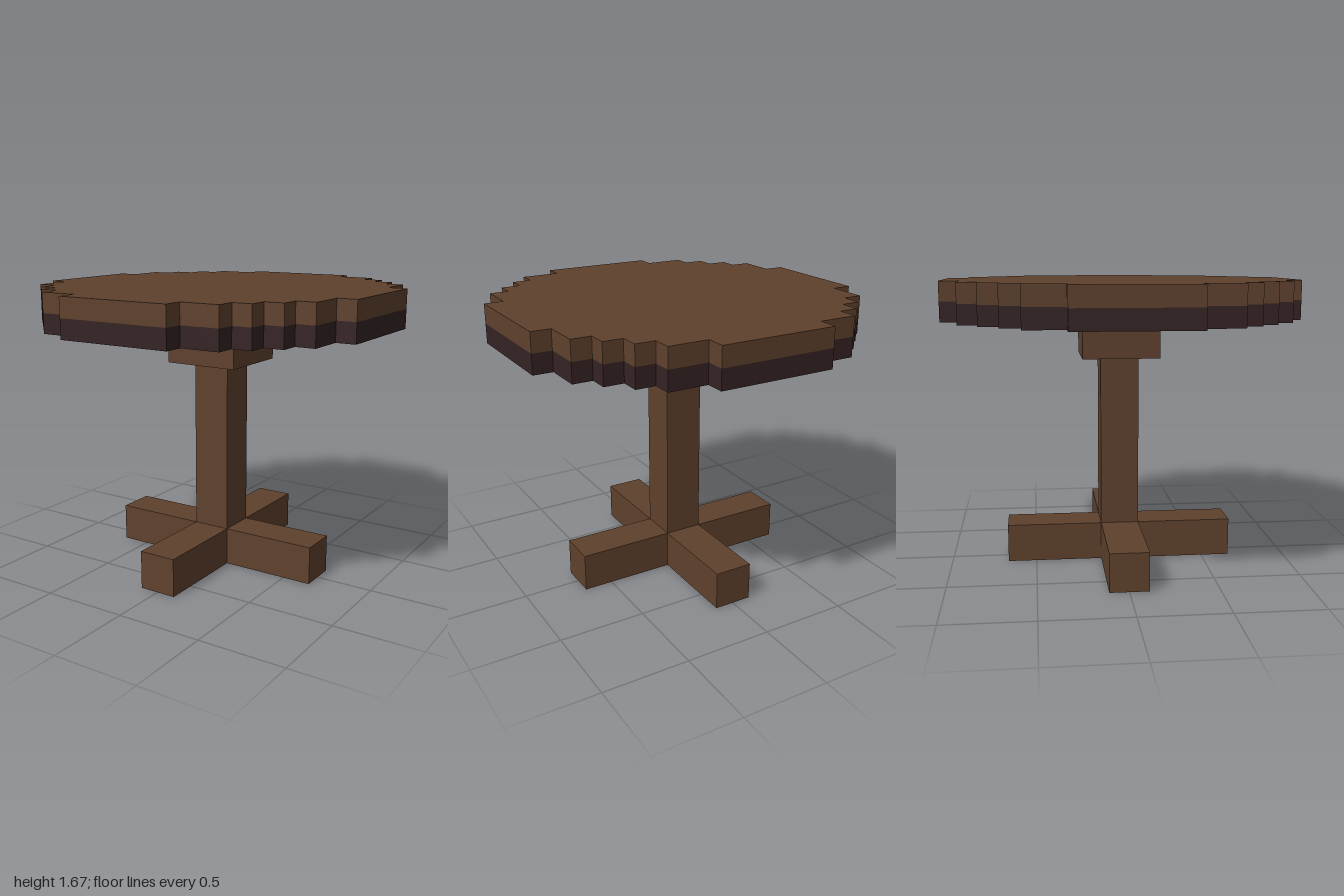
import * as THREE from 'three';
import { mergeGeometries } from 'three/addons/utils/BufferGeometryUtils.js';

const U = 1 / 9; // one block of the grid the table is built on

// One quarter of the stepped round outline, in blocks
const QUARTER = [[9, 3], [8, 3], [8, 5], [7, 5], [7, 6], [6, 6], [6, 7], [5, 7], [5, 8], [3, 8], [3, 9]];

function steppedDisc(y0, y1) {
  const points = [];
  for (let q = 0; q < 4; q++) {
    for (const [x, y] of QUARTER) {
      const p = new THREE.Vector2(x, y);
      for (let i = 0; i < q; i++) p.set(-p.y, p.x);
      points.push(p);
    }
  }
  const geo = new THREE.ExtrudeGeometry(new THREE.Shape(points), { depth: y1 - y0, bevelEnabled: false });
  return geo.rotateX(-Math.PI / 2).translate(0, y0, 0).scale(U, U, U);
}

function block(half, y0, y1) {
  return new THREE.BoxGeometry(2 * half, y1 - y0, 2 * half).translate(0, (y0 + y1) / 2, 0).scale(U, U, U);
}

// Hollow foot pointing along +z: top, two sides and an end, open below
function footGeometry() {
  return mergeGeometries([
    new THREE.PlaneGeometry(2, 5).rotateX(-Math.PI / 2).translate(0, 2, 3.5),
    new THREE.PlaneGeometry(5, 2).rotateY(Math.PI / 2).translate(1, 1, 3.5),
    new THREE.PlaneGeometry(5, 2).rotateY(-Math.PI / 2).translate(-1, 1, 3.5),
    new THREE.PlaneGeometry(2, 2).translate(0, 1, 6),
  ]).scale(U, U, U);
}

export function createModel() {
  const wood = new THREE.MeshStandardMaterial({ color: 0x5f412d, side: THREE.DoubleSide });
  wood.name = 'brown wood';
  const darkWood = new THREE.MeshStandardMaterial({ color: 0x352324 });
  darkWood.name = 'dark wood';

  const model = new THREE.Group();
  model.name = 'roundTable';
  const add = (name, geometry, material, parent = model) => {
    const mesh = new THREE.Mesh(geometry, material);
    mesh.name = name;
    parent.add(mesh);
    return mesh;
  };

  // Tabletop in two layers
  add('tabletop', steppedDisc(14, 15), wood);
  add('tabletopUnderside', steppedDisc(13, 14), darkWood);

  // Pedestal
  add('postCap', block(2, 11, 13), wood);
  add('post', block(1, 2, 11), wood);

  // Cross-shaped base of four feet
  const base = new THREE.Group();
  base.name = 'base';
  model.add(base);
  const foot = footGeometry();
  for (let i = 0; i < 4; i++) {
    add('foot' + (i + 1), foot, wood, base).rotation.y = (i * Math.PI) / 2;
  }
  return model;
}
